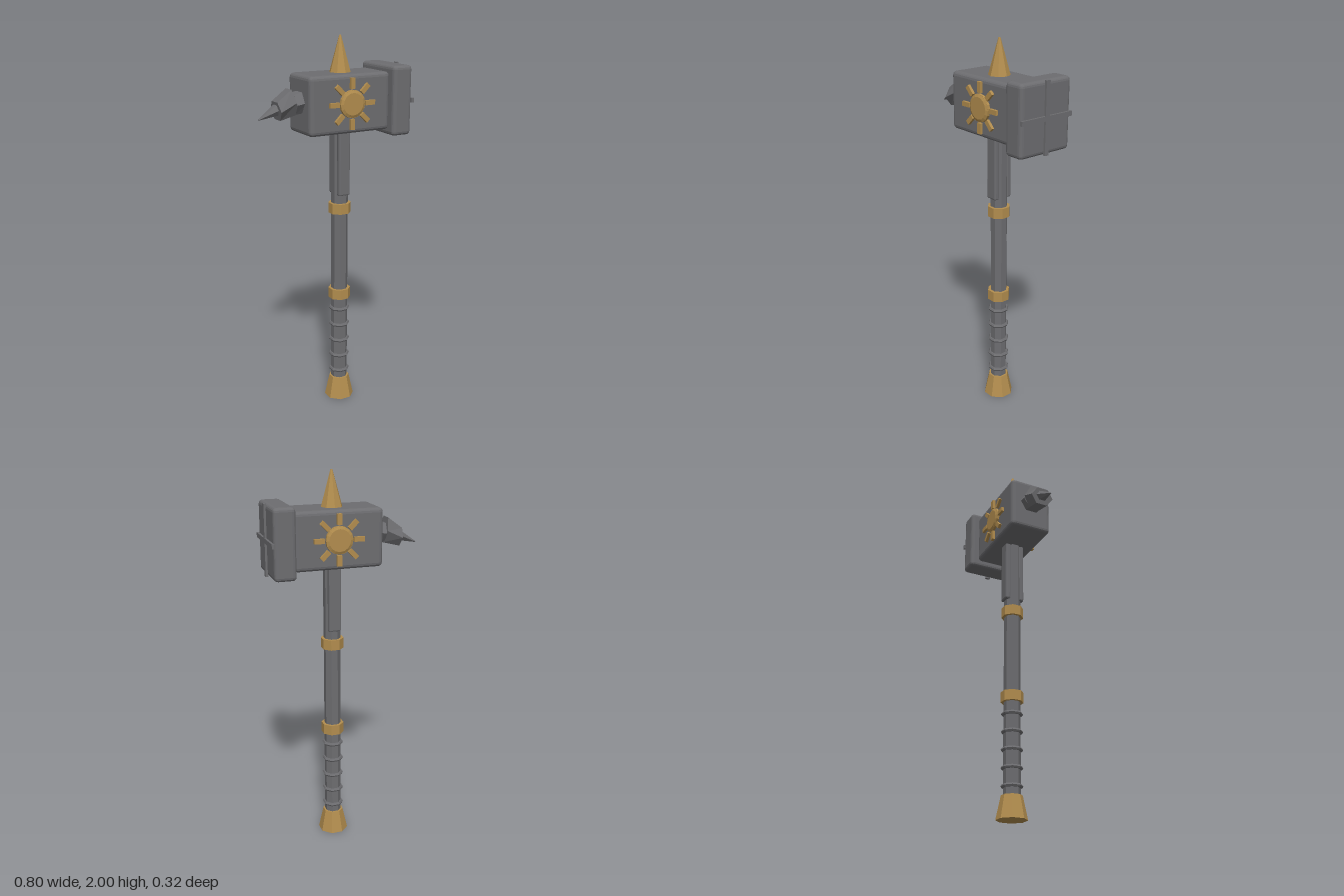
import * as THREE from 'three';
import { RoundedBoxGeometry } from 'three/addons/geometries/RoundedBoxGeometry.js';

const CX = 0.055; // haft axis
const HEAD_Y = 1.675; // head centre height

const steel = new THREE.MeshStandardMaterial({ color: 0x6d6d70 });
steel.name = 'steel';
const gold = new THREE.MeshStandardMaterial({ color: 0xb28d4e });
gold.name = 'gold';

// Faceted normals
function faceted(geometry) {
  const g = geometry.index ? geometry.toNonIndexed() : geometry;
  g.computeVertexNormals();
  return g;
}

function add(parent, name, geometry, material, x = 0, y = 0, z = 0) {
  const mesh = new THREE.Mesh(geometry, material);
  mesh.name = name;
  mesh.position.set(x, y, z);
  parent.add(mesh);
  return mesh;
}

// Eight-sided column between two heights; radii are measured to the flats
function octagon(y0, y1, bottom, top) {
  const k = 1 / Math.cos(Math.PI / 8);
  const g = new THREE.CylinderGeometry(top * k, bottom * k, y1 - y0, 8);
  g.rotateY(Math.PI / 8);
  g.translate(0, (y0 + y1) / 2, 0);
  return faceted(g);
}

// Hexagonal loft along -x; each section is [topX, topY, bottomX, bottomY, halfZ]
function hexLoft(sections) {
  const rings = sections.map(([tx, ty, bx, by, hz]) => {
    const at = (t, z) => [tx + (bx - tx) * t, ty + (by - ty) * t, z * hz];
    return [at(0, 0.5), at(0.5, 1), at(1, 0.5), at(1, -0.5), at(0.5, -1), at(0, -0.5)];
  });
  const pos = [];
  const tri = (a, b, c) => pos.push(...a, ...b, ...c);
  for (let s = 0; s < rings.length - 1; s++) {
    for (let i = 0; i < 6; i++) {
      const j = (i + 1) % 6;
      const [a, b, c, d] = [rings[s][i], rings[s][j], rings[s + 1][j], rings[s + 1][i]];
      tri(a, d, c);
      tri(a, c, b);
    }
  }
  // End caps
  const first = rings[0];
  const last = rings[rings.length - 1];
  for (let i = 1; i < 5; i++) {
    tri(first[0], first[i], first[i + 1]);
    tri(last[0], last[i + 1], last[i]);
  }
  const g = new THREE.BufferGeometry();
  g.setAttribute('position', new THREE.Float32BufferAttribute(pos, 3));
  g.computeVertexNormals();
  return g;
}

function buildHandle() {
  const handle = new THREE.Group();
  handle.name = 'handle';
  handle.position.x = CX;
  add(handle, 'haft', octagon(0.1, 1.56, 0.041, 0.041), steel);
  add(handle, 'pommel', octagon(0, 0.12, 0.074, 0.05), gold);
  add(handle, 'lowerBand', octagon(0.6, 0.655, 0.055, 0.055), gold);
  add(handle, 'upperBand', octagon(1.085, 1.14, 0.055, 0.055), gold);

  // Raised grip rings
  for (const y of [0.165, 0.257, 0.35, 0.443, 0.537]) {
    const ring = new THREE.TorusGeometry(0.047, 0.01, 6, 8);
    ring.rotateX(Math.PI / 2);
    ring.rotateY(Math.PI / 8);
    add(handle, 'gripRing', faceted(ring), steel, 0, y, 0);
  }

  // Reinforcing straps under the head, front and back
  for (const side of [1, -1]) {
    const strap = new RoundedBoxGeometry(0.066, 0.37, 0.03, 1, 0.008);
    add(handle, 'strap', faceted(strap), steel, 0, 1.37, side * 0.039);
  }
  return handle;
}

function buildEmblem() {
  const emblem = new THREE.Group();
  emblem.name = 'sunEmblem';
  const disc = new THREE.CylinderGeometry(0.07, 0.07, 0.018, 16);
  disc.rotateX(Math.PI / 2);
  add(emblem, 'sunDisc', faceted(disc), gold, 0, 0, 0.121);
  const boss = new THREE.CylinderGeometry(0.056, 0.069, 0.006, 16);
  boss.rotateX(Math.PI / 2);
  add(emblem, 'sunBoss', faceted(boss), gold, 0, 0, 0.133);
  for (let i = 0; i < 8; i++) {
    const ray = new THREE.BoxGeometry(0.054, 0.024, 0.017);
    ray.translate(0.102, 0, 0);
    add(emblem, 'sunRay', ray, gold, 0, 0, 0.1225).rotation.z = (i * Math.PI) / 4;
  }
  return emblem;
}

function buildHead() {
  const head = new THREE.Group();
  head.name = 'head';
  const block = new RoundedBoxGeometry(0.46, 0.295, 0.232, 2, 0.022);
  add(head, 'headBlock', faceted(block), steel, 0.052, 1.672, 0);
  const face = new RoundedBoxGeometry(0.112, 0.355, 0.314, 2, 0.02);
  add(head, 'strikingFace', faceted(face), steel, 0.334, 1.672, 0);

  // Crossed bars on the striking face
  add(head, 'verticalBar', new THREE.BoxGeometry(0.014, 0.358, 0.024), steel, 0.394, 1.672, 0);
  add(head, 'horizontalBar', new THREE.BoxGeometry(0.014, 0.024, 0.317), steel, 0.394, 1.672, 0);

  // Drooping beak on the other end
  add(head, 'beakCollar', hexLoft([
    [-0.165, 1.74, -0.165, 1.635, 0.063],
    [-0.222, 1.728, -0.215, 1.63, 0.063],
  ]), steel);
  add(head, 'beakSocket', hexLoft([
    [-0.235, 1.754, -0.207, 1.63, 0.063],
    [-0.312, 1.697, -0.298, 1.607, 0.063],
  ]), steel);
  add(head, 'beakTip', hexLoft([
    [-0.305, 1.685, -0.3, 1.632, 0.035],
    [-0.401, 1.618, -0.4, 1.613, 0.003],
  ]), steel);

  // Top spike
  const spike = new THREE.CylinderGeometry(0.005, 0.058, 0.19, 8);
  add(head, 'topSpike', faceted(spike), gold, CX, 1.905, 0);

  // Sun emblems on both broad sides
  for (const turn of [0, Math.PI]) {
    const emblem = buildEmblem();
    emblem.position.set(CX, HEAD_Y, 0);
    emblem.rotation.y = turn;
    head.add(emblem);
  }
  return head;
}

export function createModel() {
  const model = new THREE.Group();
  model.name = 'warHammer';
  model.add(buildHandle(), buildHead());
  return model;
}
